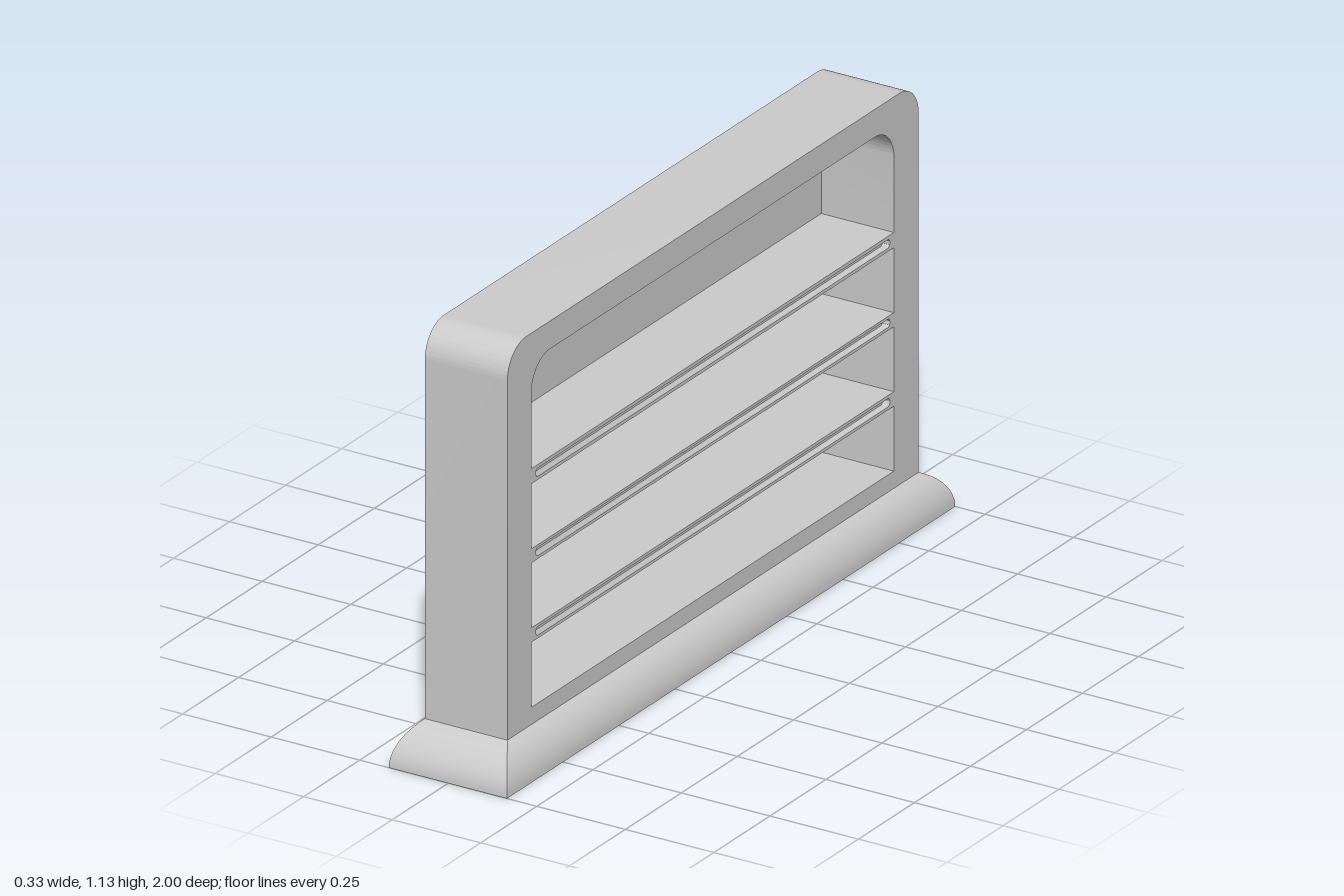
import * as THREE from 'three';
import { toCreasedNormals } from 'three/addons/utils/BufferGeometryUtils.js';

const material = new THREE.MeshStandardMaterial({ color: 0xcccccc, side: THREE.DoubleSide });

// Main planes and extents. Outlines are drawn in (u, y) with u = -z.
const X_FRONT = 0.11, X_BACK = -0.123, X_POCKET = -0.095, X_GROOVE = 0.09;
const U0 = -0.91, U1 = 0.925, Y_BASE = 0.105, Y_TOP = 1.13;

// Rectangle with separately rounded top and bottom corners
function roundedRect(u0, u1, y0, y1, rTop, rBottom = 0) {
  const s = new THREE.Shape();
  s.moveTo(u0 + rBottom, y0);
  s.lineTo(u1 - rBottom, y0);
  if (rBottom) s.absarc(u1 - rBottom, y0 + rBottom, rBottom, -Math.PI / 2, 0);
  s.lineTo(u1, y1 - rTop);
  if (rTop) s.absarc(u1 - rTop, y1 - rTop, rTop, 0, Math.PI / 2);
  s.lineTo(u0 + rTop, y1);
  if (rTop) s.absarc(u0 + rTop, y1 - rTop, rTop, Math.PI / 2, Math.PI);
  s.lineTo(u0, y0 + rBottom);
  if (rBottom) s.absarc(u0 + rBottom, y0 + rBottom, rBottom, Math.PI, Math.PI * 1.5);
  s.closePath();
  return s;
}

function addMesh(parent, name, geometry) {
  const mesh = new THREE.Mesh(geometry, material);
  mesh.name = name;
  parent.add(mesh);
  return mesh;
}

// Flat panel in a plane of constant x
function panel(shape, x) {
  return new THREE.ShapeGeometry(shape, 12).rotateY(Math.PI / 2).translate(x, 0, 0);
}

// Skin between successive rows of points, sharp at the corners
function loft(rows) {
  const positions = [], index = [], n = rows[0].length;
  rows.forEach((row) => row.forEach((p) => positions.push(...p)));
  for (let r = 0; r < rows.length - 1; r++) {
    for (let i = 0; i < n - 1; i++) {
      const a = r * n + i, b = a + n;
      index.push(a, a + 1, b + 1, a, b + 1, b);
    }
  }
  const g = new THREE.BufferGeometry();
  g.setAttribute('position', new THREE.Float32BufferAttribute(positions, 3));
  g.setIndex(index);
  return toCreasedNormals(g, Math.PI / 5);
}

// Wall that follows an outline from one x plane to another
function wall(points, xa, xb) {
  return loft([xa, xb].map((x) => points.map((p) => [x, p.y, -p.x])));
}

// Recess: side walls plus a back panel
function addRecess(parent, name, shape, depthX) {
  const recess = new THREE.Group();
  recess.name = name;
  addMesh(recess, name + 'Walls', wall(shape.getPoints(12), X_FRONT, depthX));
  addMesh(recess, name + 'Back', panel(shape, depthX));
  parent.add(recess);
}

export function createModel() {
  const model = new THREE.Group();
  model.name = 'displayCase';

  // Shelf compartments and the narrow grooves in the shelf edges
  const compartments = [[0.15, 0.32, 0], [0.358, 0.528, 0], [0.565, 0.735, 0], [0.775, 1.057, 0.085]]
    .map(([y0, y1, r]) => roundedRect(-0.803, 0.815, y0, y1, r));
  const grooves = [0.339, 0.547, 0.755]
    .map((y) => roundedRect(-0.783, 0.797, y - 0.011, y + 0.011, 0.01, 0.01));

  // Hollow cabinet, open underneath
  const outline = roundedRect(U0, U1, Y_BASE, Y_TOP, 0.085);
  const back = panel(outline, X_BACK);
  const skin = outline.getPoints(12).slice(1);
  addMesh(model, 'outerCasing', wall(skin, X_FRONT, X_BACK));
  addMesh(model, 'backPanel', back);

  const front = outline.clone();
  front.holes.push(...compartments, ...grooves);
  addMesh(model, 'frontFrame', panel(front, X_FRONT));

  compartments.forEach((s, i) => addRecess(model, 'compartment' + (i + 1), s, X_POCKET));
  grooves.forEach((s, i) => addRecess(model, 'shelfGroove' + (i + 1), s, X_GROOVE));

  // Flared plinth with mitred corners, hollow underneath
  const rows = [], steps = 12, end = Math.PI / 3;
  for (let i = 0; i <= steps; i++) {
    const a = (end * i) / steps;
    const y = (Y_BASE * Math.sin(a)) / Math.sin(end);
    const f = (Math.cos(a) - Math.cos(end)) / (1 - Math.cos(end));
    const x0 = THREE.MathUtils.lerp(X_BACK, -0.168, f), x1 = THREE.MathUtils.lerp(X_FRONT, 0.166, f);
    const z0 = THREE.MathUtils.lerp(-U1, -1, f), z1 = THREE.MathUtils.lerp(-U0, 1, f);
    rows.push([[x0, y, z0], [x0, y, z1], [x1, y, z1], [x1, y, z0], [x0, y, z0]]);
  }
  addMesh(model, 'plinth', loft(rows));

  return model;
}
